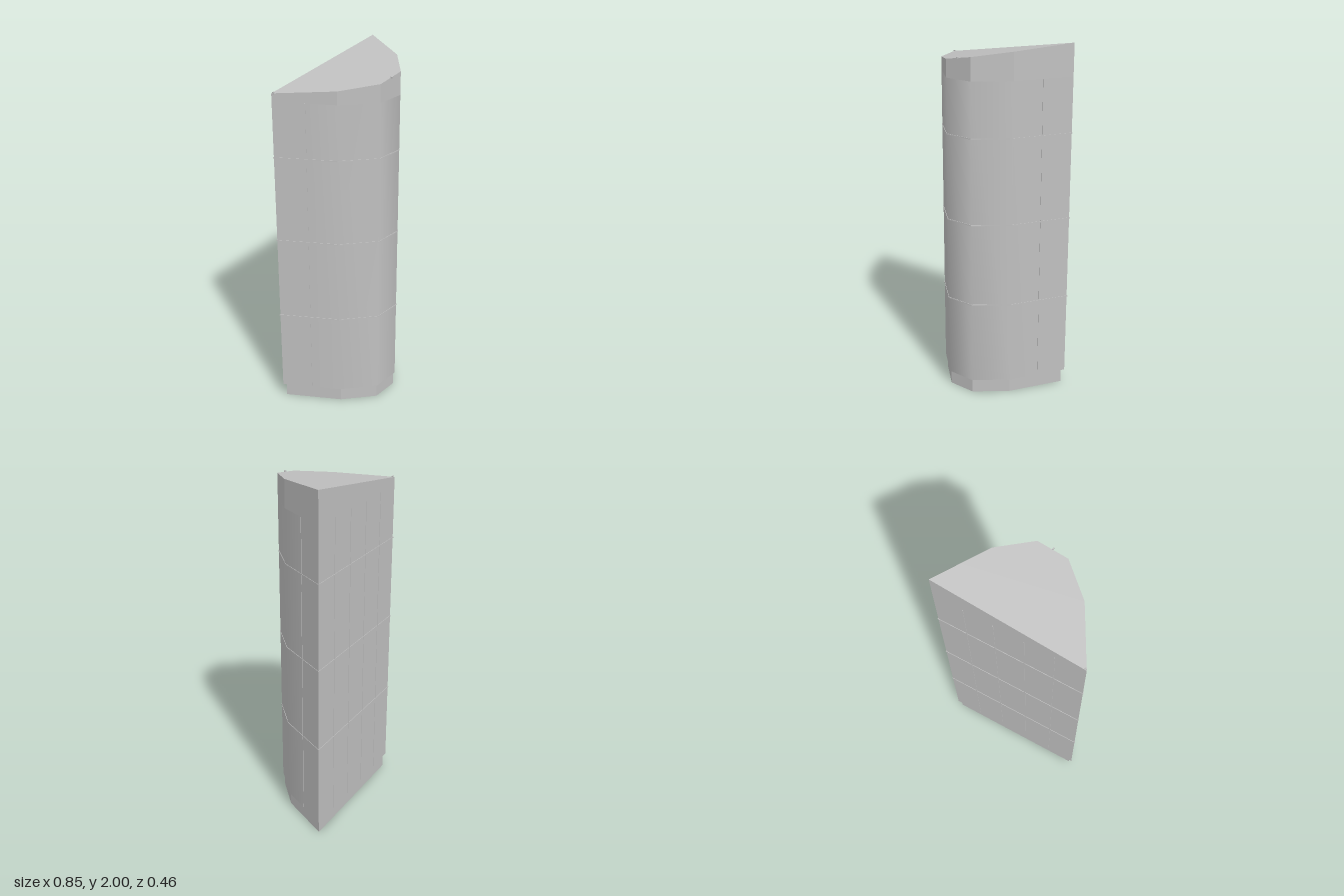
import * as THREE from 'three';
import { toCreasedNormals } from 'three/addons/utils/BufferGeometryUtils.js';

// Half of the floor plan (x, z), from the back corner to the front
const HALF = [[0.42, -0.226], [0.335, -0.076], [0.252, 0.07], [0.085, 0.218]];
const roofY = (x) => 1.933 + x * 0.16;

function planShape(sx = 1, sz = 1) {
  const right = HALF.map(([x, z]) => new THREE.Vector2(x * sx, -z * sz));
  const left = HALF.map(([x, z]) => new THREE.Vector2(-x * sx, -z * sz)).reverse();
  return new THREE.Shape([...right, ...left]);
}

// Upright prism over a plan, standing on y0
function prism(shape, y0, height) {
  const g = new THREE.ExtrudeGeometry(shape, { depth: height, bevelEnabled: false });
  g.rotateX(-Math.PI / 2);
  g.translate(0, y0, 0);
  return g;
}

export function createModel() {
  const model = new THREE.Group();
  model.name = 'tower';
  const grey = new THREE.MeshStandardMaterial({ color: 0xc0c0c0 });
  grey.name = 'facade grey';

  const add = (name, geometry, x = 0, y = 0, z = 0, turn = 0) => {
    const mesh = new THREE.Mesh(geometry, grey);
    mesh.name = name;
    mesh.position.set(x, y, z);
    mesh.rotation.y = turn;
    model.add(mesh);
    return mesh;
  };

  // Recessed base, hollow from below
  const base = planShape(0.955, 0.96);
  base.holes.push(new THREE.Path(planShape(0.945, 0.945).getPoints().reverse()));
  add('base', prism(base, 0, 0.08));

  // Main shaft with softly shaded front facets
  add('shaft', toCreasedNormals(prism(planShape(), 0.08, 1.74), Math.PI / 3));

  // Faceted crown with a sloping roof
  const crown = prism(planShape(), 1.82, 1);
  const p = crown.attributes.position;
  for (let i = 0; i < p.count; i++) {
    if (p.getY(i) > 2) p.setY(i, roofY(p.getX(i)));
  }
  crown.computeVertexNormals();
  add('crown', crown);

  // Thin floor bands
  for (const y of [0.555, 1.03, 1.515]) {
    add('floorBand', prism(planShape(1.01, 1.012), y - 0.003, 0.006));
  }

  // Vertical mullions on the sides and the back
  const mullion = new THREE.BoxGeometry(0.005, 1.74, 0.005);
  for (const s of [-1, 1]) {
    add('sideMullion', mullion, s * 0.335, 0.95, -0.076, s * Math.PI / 3);
    add('backMullion', mullion, s * 0.252, 0.95, -0.226);
    add('backMullion', mullion, s * 0.085, 0.95, -0.226);
  }

  // Small roof fixtures
  add('cornerFixture', new THREE.BoxGeometry(0.01, 0.014, 0.008), -0.411, 1.866, -0.218);
  add('frontFixture', new THREE.BoxGeometry(0.006, 0.008, 0.012), 0, 1.935, 0.223);

  return model;
}
